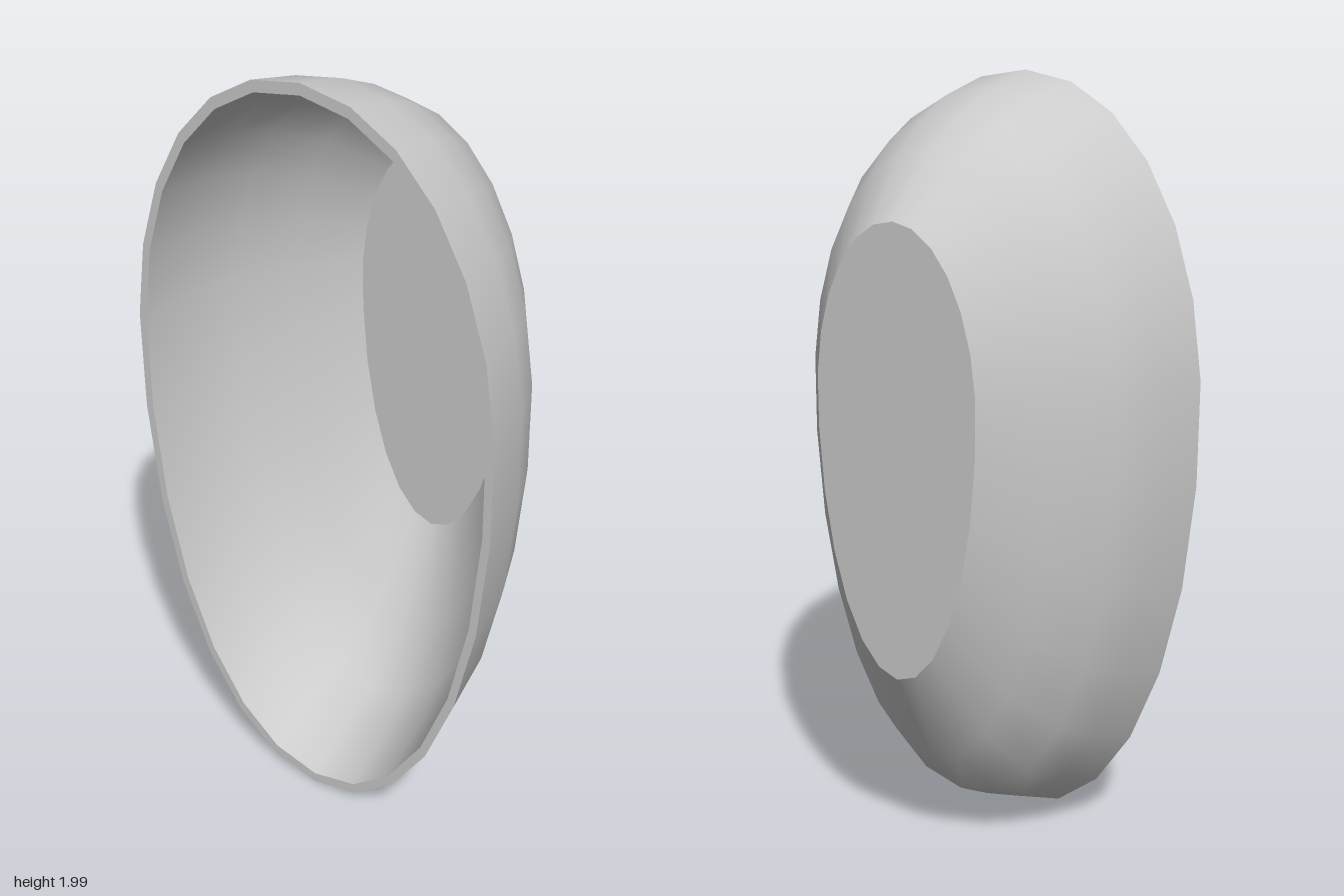
import * as THREE from 'three';

const SIDES = 26;

// Egg-shaped sections from the open front to the flat back:
// [z, top, bottom, half width, height of the widest point, roundness exponent]
const sections = [
  [0.27, 2.0, 0.01, 0.528, 1.17, 2.1],
  [0.12, 1.965, 0.08, 0.505, 1.18, 2.1],
  [0.0, 1.915, 0.145, 0.457, 1.19, 2.08],
  [-0.13, 1.84, 0.29, 0.365, 1.22, 2.04],
  [-0.267, 1.69, 0.55, 0.238, 1.25, 2.0],
];

// Points around one section, optionally moved inwards by the wall thickness
function ring([z, top, bottom, half, mid, power], inset = 0) {
  const points = [];
  for (let j = 0; j < SIDES; j++) {
    const a = (j / SIDES) * Math.PI * 2 + Math.PI / 2;
    const c = Math.cos(a), s = Math.sin(a);
    const px = Math.sign(c) * Math.abs(c) ** (2 / power);
    const py = Math.sign(s) * Math.abs(s) ** (2 / power);
    const reach = (s > 0 ? top - mid : mid - bottom) - inset * 1.3;
    points.push(new THREE.Vector3(px * (half - inset), mid + py * reach, z));
  }
  return points;
}

// Skin over a row of closed rings, facing outwards when the rings run to -z
function loft(rings, flip = false) {
  const index = [];
  for (let i = 0; i < rings.length - 1; i++) {
    for (let j = 0; j < SIDES; j++) {
      const k = (j + 1) % SIDES;
      const a = i * SIDES + j, b = i * SIDES + k;
      const c = a + SIDES, d = b + SIDES;
      if (flip) index.push(a, b, c, b, d, c);
      else index.push(a, c, b, b, c, d);
    }
  }
  const geometry = new THREE.BufferGeometry().setFromPoints(rings.flat());
  geometry.setIndex(index);
  geometry.computeVertexNormals();
  return geometry;
}

export function createModel() {
  const group = new THREE.Group();
  group.name = 'eggShapedShell';
  const material = new THREE.MeshStandardMaterial({ color: 0xcccccc });
  const thin = new THREE.MeshStandardMaterial({ color: 0xcccccc, side: THREE.DoubleSide });
  const add = (name, geometry, mat = material) => {
    const mesh = new THREE.Mesh(geometry, mat);
    mesh.name = name;
    group.add(mesh);
    return mesh;
  };

  // Wall thickness tapers from the rim to the back
  const outer = sections.map((s) => ring(s));
  const inner = sections.map((s, i) => ring(s, 0.022 - 0.004 * i));

  add('outerWall', loft(outer));
  add('innerWall', loft(inner, true));

  // Flat edge around the opening
  add('rim', loft([inner[0], outer[0]], true), thin);

  // Flat panel closing the back
  const outline = outer.at(-1).map((p) => new THREE.Vector2(p.x, p.y));
  const panel = add('backPanel', new THREE.ShapeGeometry(new THREE.Shape(outline)), thin);
  panel.position.z = sections.at(-1)[0];

  return group;
}
